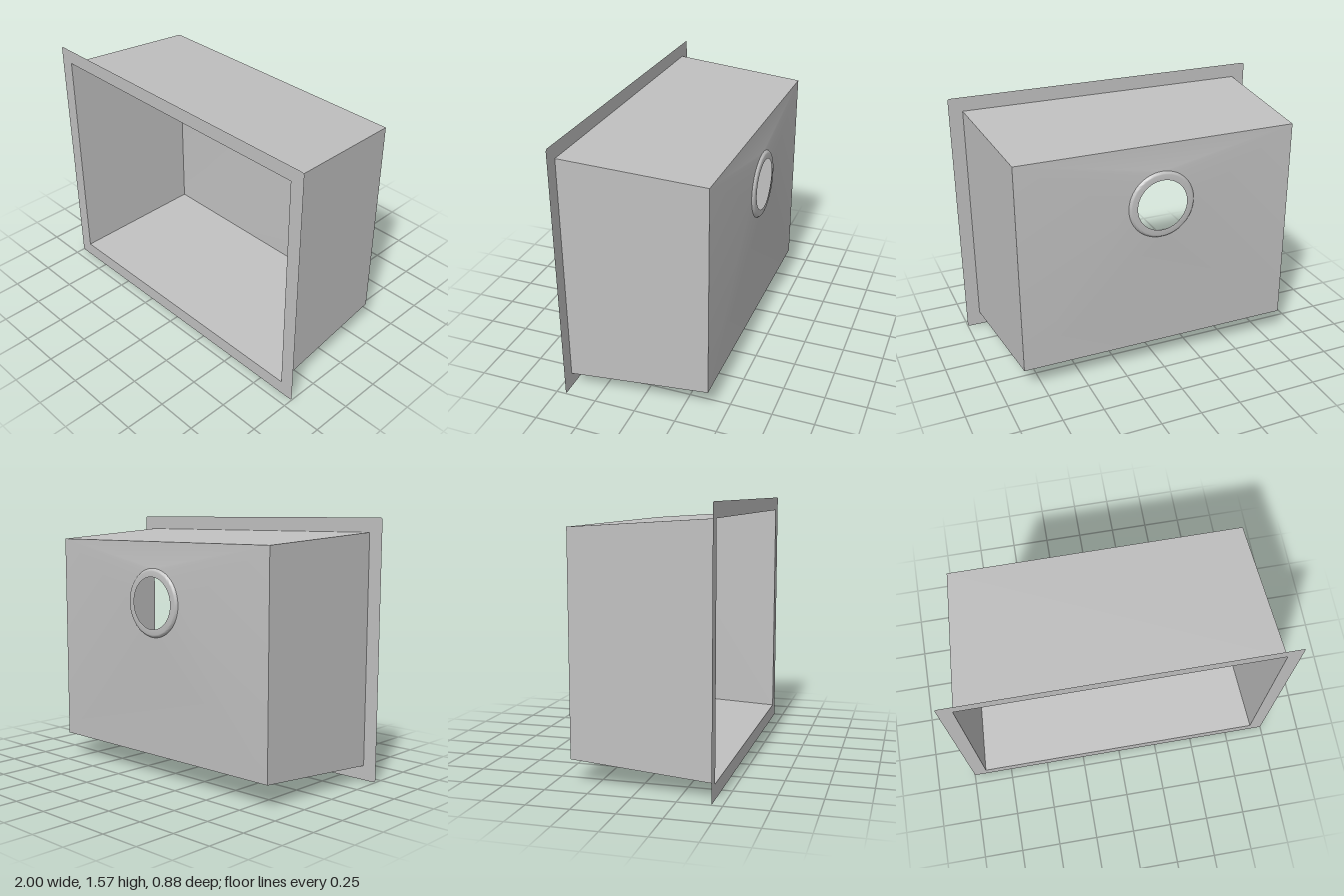
import * as THREE from 'three';
import { toCreasedNormals } from 'three/addons/utils/BufferGeometryUtils.js';

const DRAIN = { y: 1.07, r: 0.205, z: -0.425 };
const FRONT_Z = 0.44, BACK_Z = -0.4;

// Corners of a rectangle, counter-clockwise from the upper right
const corners = (hx, y0, y1, z) => [[hx, y1, z], [-hx, y1, z], [-hx, y0, z], [hx, y0, z]];

function fromTriangles(points) {
  const geometry = new THREE.BufferGeometry();
  geometry.setAttribute('position', new THREE.Float32BufferAttribute(points.flat(), 3));
  geometry.computeVertexNormals();
  return geometry;
}

export function createModel() {
  const steel = new THREE.MeshStandardMaterial({ color: 0xc0c0c0, side: THREE.DoubleSide });
  steel.name = 'brushed steel';
  const model = new THREE.Group();
  model.name = 'sink';
  const add = (name, geometry) => {
    const mesh = new THREE.Mesh(geometry, steel);
    mesh.name = name;
    model.add(mesh);
    return mesh;
  };

  const mouth = corners(0.915, 0.088, 1.484, FRONT_Z);
  const base = corners(0.862, 0.14, 1.43, BACK_Z);

  // Flat flange with small rounded corners and a rectangular opening
  const r = 0.015, top = 1.57;
  const flange = new THREE.Shape();
  flange.absarc(1 - r, top - r, r, 0, Math.PI / 2);
  flange.absarc(-1 + r, top - r, r, Math.PI / 2, Math.PI);
  flange.absarc(-1 + r, r, r, Math.PI, Math.PI * 1.5);
  flange.absarc(1 - r, r, r, Math.PI * 1.5, Math.PI * 2);
  flange.holes.push(new THREE.Path(mouth.map(([x, y]) => new THREE.Vector2(x, y))));
  add('rim', new THREE.ShapeGeometry(flange, 6)).position.z = FRONT_Z;

  // Four tapered walls, facing into the bowl
  const walls = [];
  for (let i = 0; i < 4; i++) {
    const j = (i + 1) % 4;
    walls.push(mouth[i], mouth[j], base[j], mouth[i], base[j], base[i]);
  }
  add('walls', fromTriangles(walls));

  // Bowl floor: a flat triangle from each edge and a cone fan from each corner to the drain
  const ring = (a) => [DRAIN.r * Math.cos(a), DRAIN.y + DRAIN.r * Math.sin(a), DRAIN.z];
  const floor = [], steps = 16;
  for (let i = 0; i < 4; i++) {
    const start = i * Math.PI / 2;
    for (let k = 0; k < steps; k++) {
      const a = start + k / steps * Math.PI / 2;
      const b = start + (k + 1) / steps * Math.PI / 2;
      floor.push(base[i], ring(b), ring(a));
    }
    floor.push(base[i], base[(i + 1) % 4], ring(start + Math.PI / 2));
  }
  add('floor', toCreasedNormals(fromTriangles(floor), 0.3));

  // Recessed drain seat with a rounded shoulder and an open hole
  const profile = [[0.155, -0.44], [0.188, -0.44], [0.195, -0.438], [0.2, -0.433], [DRAIN.r, DRAIN.z]]
    .map(([x, z]) => new THREE.Vector2(x, z));
  const seat = new THREE.LatheGeometry(profile, 64);
  seat.rotateX(Math.PI / 2);
  add('drainSeat', toCreasedNormals(seat, 0.6)).position.y = DRAIN.y;

  return model;
}
